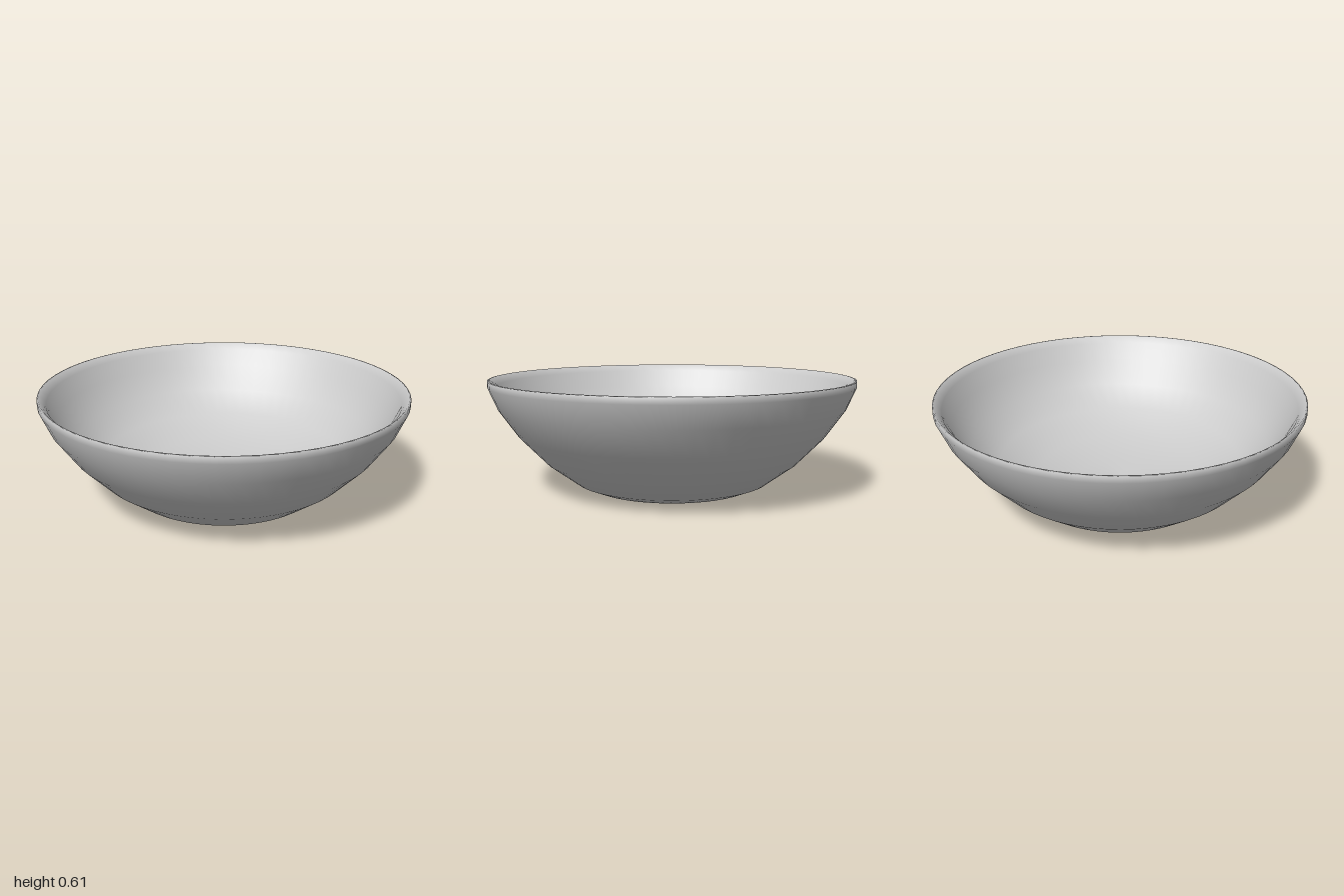
import * as THREE from 'three';

export function createModel() {
  const group = new THREE.Group();
  group.name = 'bowl';

  // Closed wall section: underside, outer wall, bevelled rim, inner wall, dished floor
  const profile = [
    [0, 0], [0.45, 0], [0.54, 0.037], [0.70, 0.155], [0.845, 0.305], [0.95, 0.455],
    [1, 0.572], [1, 0.605], [0.99, 0.607],
    [0.955, 0.57], [0.91, 0.47], [0.81, 0.335], [0.67, 0.215], [0.45, 0.13], [0.22, 0.09], [0, 0.078],
  ].map(([r, y]) => new THREE.Vector2(r, y));

  const shell = new THREE.Mesh(
    new THREE.LatheGeometry(profile, 64),
    new THREE.MeshStandardMaterial({ color: 0xcccccc }),
  );
  shell.name = 'bowlShell';
  group.add(shell);
  return group;
}
